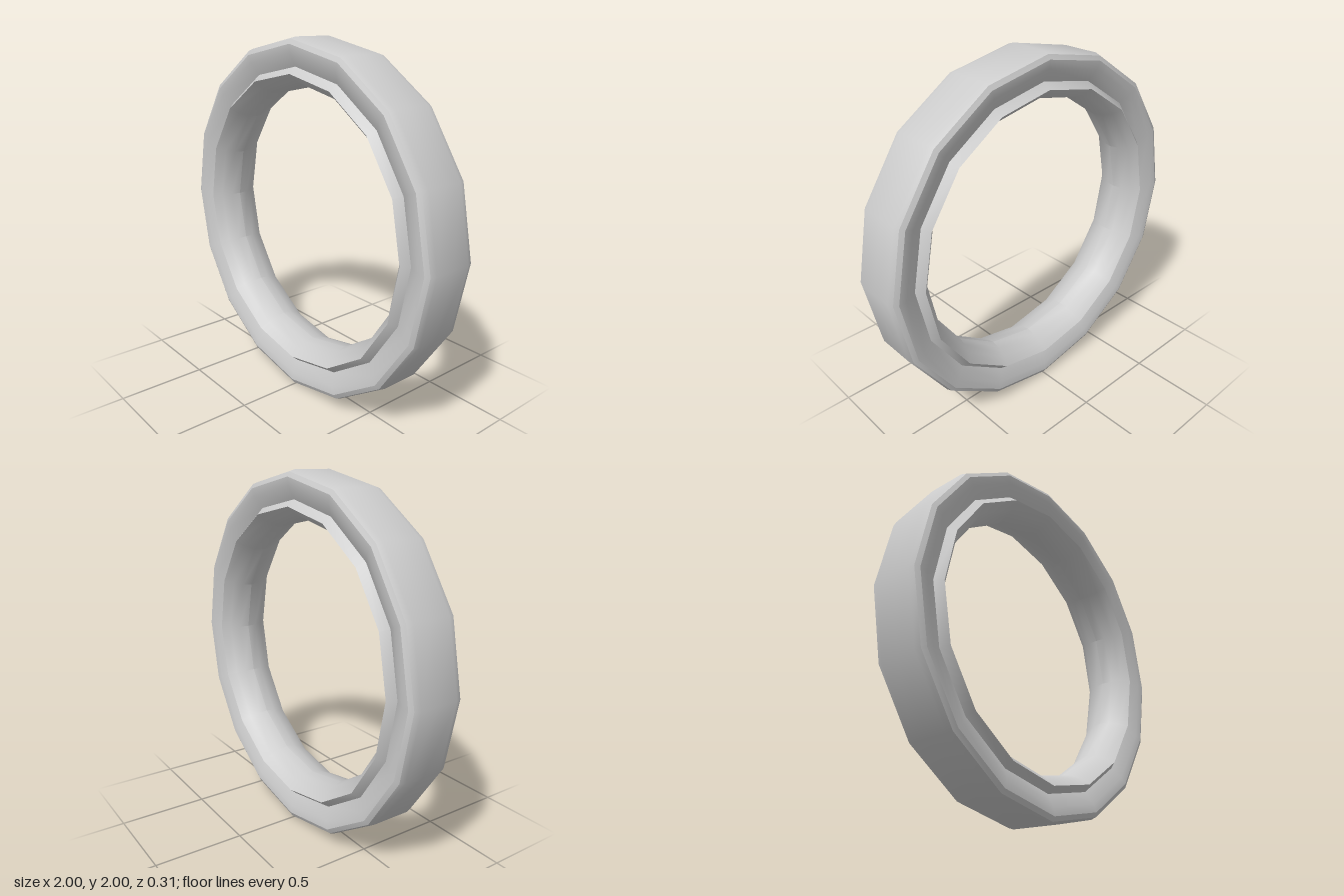
import * as THREE from 'three';
import { toCreasedNormals } from 'three/addons/utils/BufferGeometryUtils.js';

// Half of the ring's section as [radius, z], from tread centre to bore centre
const HALF = [
  [1.0, 0], [1.0, 0.11], [0.99, 0.142], // tread and shoulder
  [0.965, 0.155], [0.92, 0.15],         // side wall
  [0.85, 0.115], [0.815, 0.155],        // groove and inner bead
  [0.775, 0.11], [0.75, 0.055], [0.74, 0], // bulging bore
];

export function createModel() {
  const group = new THREE.Group();
  group.name = 'ring';

  // Mirror the half section into a closed loop, ending where it starts
  const back = HALF.slice(1, -1).reverse().map(([r, z]) => [r, -z]);
  const loop = [...HALF, ...back, HALF[0]].map(([r, z]) => new THREE.Vector2(r, z));

  // Sixteen-sided turn, laid with its axis along z
  const turned = new THREE.LatheGeometry(loop, 16);
  turned.rotateX(Math.PI / 2);
  turned.translate(0, 1, 0);

  const tyre = new THREE.Mesh(
    toCreasedNormals(turned, THREE.MathUtils.degToRad(30)),
    new THREE.MeshStandardMaterial({ color: 0xcccccc })
  );
  tyre.name = 'tyre';
  group.add(tyre);
  return group;
}
